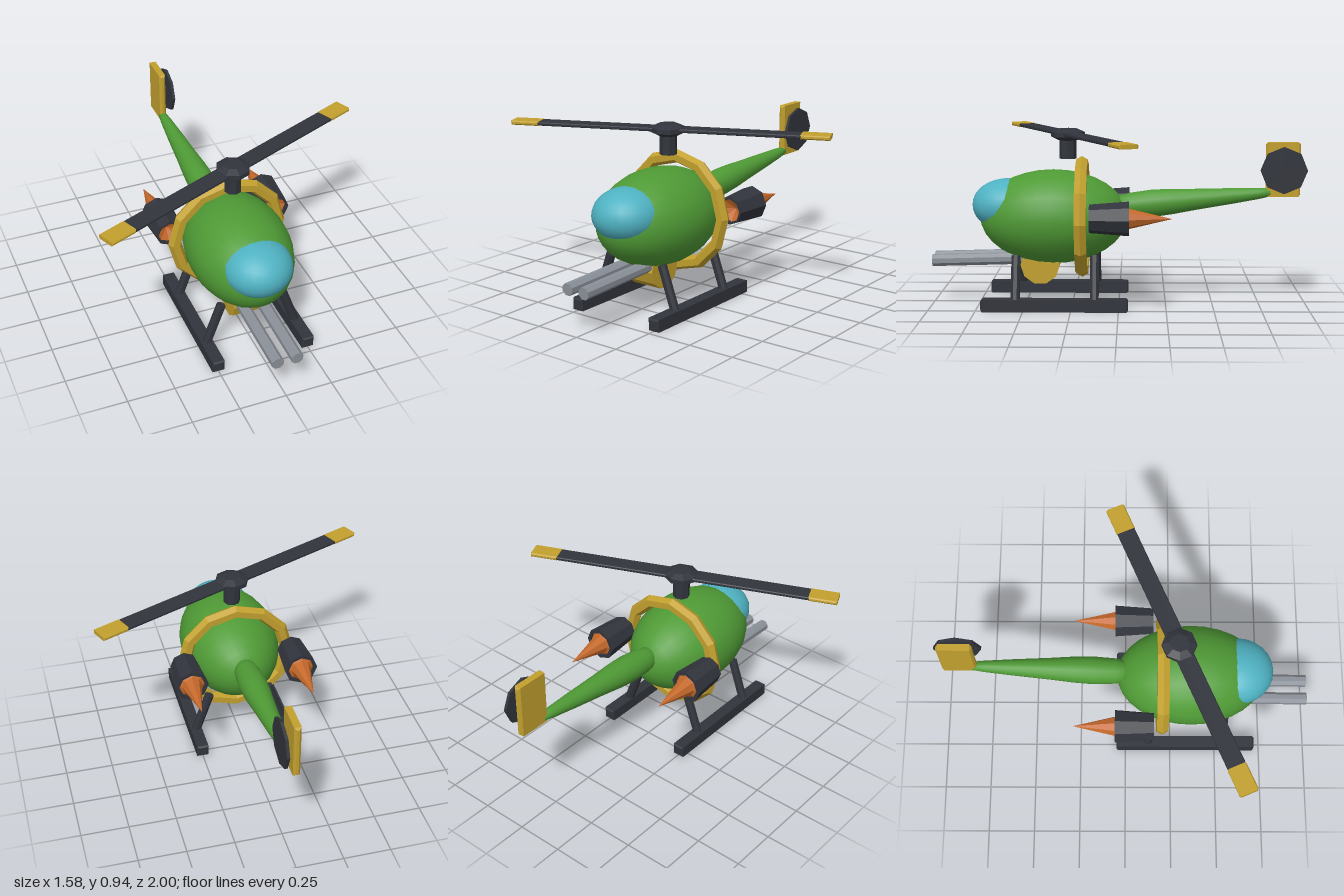
import * as THREE from 'three';

const paint = (color, flatShading = true) => new THREE.MeshStandardMaterial({ color, flatShading });
const green = paint(0x4f9a35, false);
const teal = paint(0x4fb2c2, false);
const yellow = paint(0xc2a02e);
const dark = paint(0x31343c);
const orange = paint(0xc4682a);
const grey = paint(0x8b9199);

export function createModel() {
  const model = new THREE.Group();

  function add(name, geometry, material, x = 0, y = 0, z = 0, parent = model) {
    const mesh = new THREE.Mesh(geometry, material);
    mesh.name = name;
    mesh.position.set(x, y, z);
    parent.add(mesh);
    return mesh;
  }

  // Box with chamfered edges, centred on its origin
  function chamferBox(w, h, d, c) {
    const a = w / 2 - c, b = h / 2 - c;
    const shape = new THREE.Shape([[-a, -b], [a, -b], [a, b], [-a, b]].map(p => new THREE.Vector2(...p)));
    return new THREE.ExtrudeGeometry(shape, {
      depth: d - 2 * c, bevelThickness: c, bevelSize: c, bevelSegments: 1,
    }).translate(0, 0, c - d / 2);
  }

  // Solid of revolution from [radius, height] pairs
  const lathe = (points, sides) =>
    new THREE.LatheGeometry(points.map(p => new THREE.Vector2(...p)), sides);

  // Straight rod between two points
  function rod(name, from, to, radius, material) {
    const a = new THREE.Vector3(...from), b = new THREE.Vector3(...to);
    const dir = b.clone().sub(a);
    const geometry = new THREE.CylinderGeometry(radius, radius, dir.length(), 8).rotateY(Math.PI / 8);
    const mesh = add(name, geometry, material);
    mesh.position.copy(a).add(b).multiplyScalar(0.5);
    mesh.quaternion.setFromUnitVectors(new THREE.Vector3(0, 1, 0), dir.normalize());
  }

  // Fuselage, canopy and hoop
  add('body', new THREE.SphereGeometry(1, 24, 16).rotateX(Math.PI / 2).scale(0.268, 0.253, 0.395), green, 0, 0.467, 0.35);
  add('canopy', new THREE.SphereGeometry(1, 24, 16).scale(0.18, 0.14, 0.187), teal, 0, 0.53, 0.6);
  add('bodyRing', new THREE.TorusGeometry(0.292, 0.036, 6, 12), yellow, 0, 0.463, 0.198);

  // Tail boom, rising slightly to the rear
  const boom = add('tailBoom', lathe([
    [0, -0.04], [0.035, -0.03], [0.058, 0], [0.068, 0.06], [0.074, 0.18], [0.069, 0.28],
    [0.058, 0.4], [0.043, 0.6], [0.03, 0.75], [0.022, 0.81], [0, 0.82],
  ], 16), green, 0, 0.52, 0);
  boom.rotation.x = -Math.PI / 2 + 0.095;

  // Tail fin and rotor disc
  add('tailFin', chamferBox(0.036, 0.29, 0.185, 0.011), yellow, 0, 0.72, -0.875);
  add('tailRotor', new THREE.CylinderGeometry(0.125, 0.125, 0.016, 8).rotateZ(Math.PI / 2), dark, 0.054, 0.72, -0.875);

  // Main rotor
  const rotor = new THREE.Group();
  rotor.name = 'mainRotor';
  rotor.position.set(0, 0.91, 0.272);
  model.add(rotor);
  add('mast', new THREE.CylinderGeometry(0.045, 0.045, 0.12, 8), dark, 0, -0.072, 0, rotor);
  add('hub', lathe([[0, -0.034], [0.05, -0.034], [0.09, -0.014], [0.09, 0.01], [0.05, 0.028], [0, 0.028]], 8), dark, 0, 0, 0, rotor);
  const blades = new THREE.Group();
  blades.name = 'blades';
  blades.rotation.y = 0.405;
  rotor.add(blades);
  add('bladeBar', chamferBox(1.4, 0.018, 0.095, 0.004), dark, 0, 0, 0, blades);

  for (const s of [-1, 1]) {
    add('bladeTip', chamferBox(0.15, 0.022, 0.1, 0.006), yellow, s * 0.763, 0, 0, blades);

    // Landing gear
    add('skid', chamferBox(0.064, 0.065, 0.77, 0.008), dark, s * 0.25, 0.0325, 0.335);
    for (const z of [0.54, 0.126]) {
      rod('skidStrut', [s * 0.25, 0.05, z], [s * 0.168, 0.28, z], 0.025, dark);
    }

    // Twin gun barrels
    rod('gunBarrel', [s * 0.052, 0.25, 0.42], [s * 0.052, 0.234, 0.999], 0.033, grey);

    // Engine pod: hollow shell with exhaust cone
    const pod = new THREE.Group();
    pod.name = 'enginePod';
    pod.position.set(s * 0.3, 0.497, 0);
    pod.rotation.x = -Math.PI / 2;
    model.add(pod);
    add('podShell', lathe([
      [0.062, -0.15], [0.074, -0.15], [0.09, 0.055], [0.07, 0.055], [0.062, -0.15],
    ], 8), dark, 0, 0, 0, pod);
    add('exhaustCone', lathe([
      [0, -0.09], [0.064, -0.13], [0.07, 0.045], [0.053, 0.055], [0, 0.278],
    ], 8), orange, 0, 0, 0, pod);
  }

  // Gun turret under the belly
  add('gunTurret', new THREE.CylinderGeometry(0.105, 0.105, 0.175, 10).rotateZ(Math.PI / 2), yellow, 0, 0.215, 0.42);

  return model;
}
